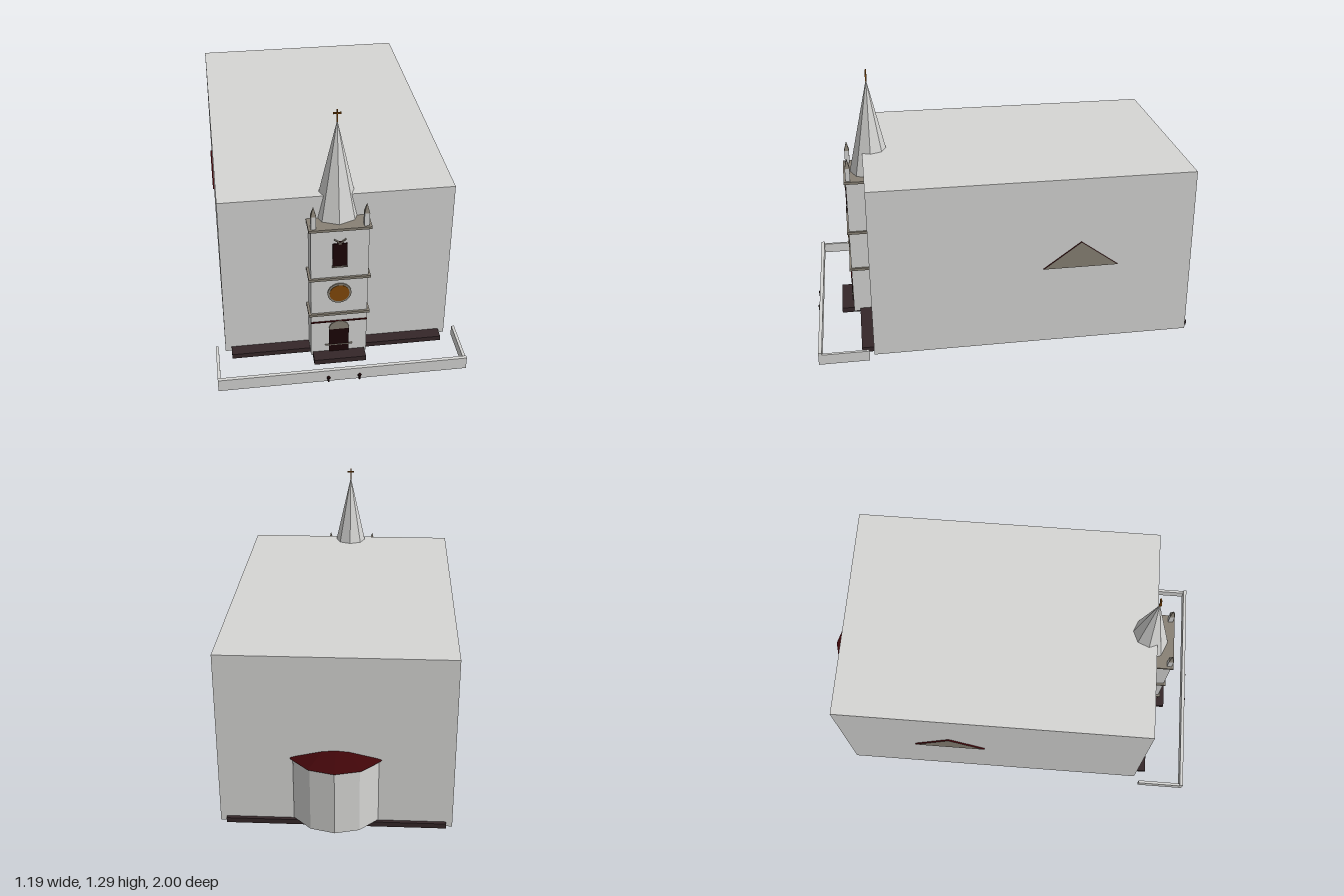
import * as THREE from 'three';

export function createModel() {
  const root = new THREE.Group();
  const mat = (name, color) => {
    const m = new THREE.MeshStandardMaterial({ color, flatShading: true });
    m.name = name;
    return m;
  };
  const plaster = mat('plaster', 0xd6d6d4);
  const stone = mat('trimStone', 0x888175);
  const dark = mat('darkStone', 0x352729);
  const wood = mat('darkWood', 0x1c0506);
  const red = mat('redRoof', 0x400609);
  const gold = mat('gold', 0x82490a);

  const add = (name, geo, material, x = 0, y = 0, z = 0, parent = root) => {
    const m = new THREE.Mesh(geo, material);
    m.name = name;
    m.position.set(x, y, z);
    parent.add(m);
    return m;
  };
  // Box given by its limits on each axis
  const box = (name, material, x0, x1, y0, y1, z0, z1, parent = root) =>
    add(name, new THREE.BoxGeometry(x1 - x0, y1 - y0, z1 - z0), material,
      (x0 + x1) / 2, (y0 + y1) / 2, (z0 + z1) / 2, parent);

  // Nave and plinth
  box('nave', plaster, -0.547, 0.547, 0, 0.874, -0.867, 0.718);
  box('plinth', dark, -0.517, 0.517, 0, 0.025, -0.885, 0.776);

  // Side gables: stone faces with red edges
  for (const side of [-1, 1]) {
    const tri = new THREE.Shape([
      new THREE.Vector2(-0.185, 0), new THREE.Vector2(0.185, 0), new THREE.Vector2(0, 0.135),
    ]);
    const geo = new THREE.ExtrudeGeometry(tri, { depth: 0.009, bevelEnabled: false });
    const gable = add('sideGable', geo, [stone, red], side * 0.546, 0.408, -0.307);
    gable.rotation.y = side * Math.PI / 2;
  }

  // Apse at the back
  add('apseWall', new THREE.CylinderGeometry(0.227, 0.227, 0.33, 12), plaster, 0, 0.195, -0.76);
  add('apseRoof', new THREE.ConeGeometry(0.24, 0.076, 12), red, 0, 0.395, -0.76);

  // Tower with cornices
  const tower = new THREE.Group();
  tower.name = 'tower';
  root.add(tower);
  box('towerBody', plaster, -0.135, 0.135, 0.01, 0.75, 0.7, 0.808, tower);
  for (const y of [0.255, 0.465, 0.743])
    box('cornice', stone, -0.146, 0.146, y, y + 0.013, 0.7, 0.818, tower);
  box('redBand', red, -0.135, 0.135, 0.209, 0.215, 0.805, 0.813, tower);

  // Spire and cross
  add('spire', new THREE.ConeGeometry(0.108, 0.485, 8), plaster, 0, 0.9975, 0.677, tower);
  box('crossPost', gold, -0.003, 0.003, 1.23, 1.29, 0.673, 0.681, tower);
  box('crossArm', gold, -0.018, 0.018, 1.27, 1.276, 0.673, 0.681, tower);

  // Corner pinnacles
  for (const x of [-0.122, 0.122]) {
    box('pinnacleBase', plaster, x - 0.012, x + 0.012, 0.756, 0.825, 0.784, 0.808, tower);
    const cap = add('pinnacleCap', new THREE.ConeGeometry(0.018, 0.05, 4), stone, x, 0.848, 0.796, tower);
    cap.rotation.y = Math.PI / 4;
  }

  // Belfry window with sill and crossed bars above
  box('belfryWindow', wood, -0.034, 0.034, 0.545, 0.67, 0.805, 0.814, tower);
  box('windowSill', stone, -0.036, 0.036, 0.538, 0.545, 0.805, 0.817, tower);
  add('windowPeak', new THREE.CircleGeometry(0.017, 12, 0, Math.PI), wood, 0, 0.67, 0.8135, tower);
  for (const s of [-1, 1]) {
    const bar = add('windowOrnament', new THREE.BoxGeometry(0.042, 0.005, 0.008), stone,
      s * 0.01, 0.682, 0.813, tower);
    bar.rotation.z = s * 0.65;
  }

  // Round window
  add('roundWindowFrame', new THREE.CylinderGeometry(0.057, 0.057, 0.009, 20), stone, 0, 0.384, 0.809, tower)
    .rotation.x = Math.PI / 2;
  add('roundWindowPane', new THREE.CylinderGeometry(0.047, 0.047, 0.009, 20), gold, 0, 0.384, 0.811, tower)
    .rotation.x = Math.PI / 2;

  // Door with arch and sill
  box('door', wood, -0.048, 0.048, 0.025, 0.167, 0.805, 0.814, tower);
  const arch = new THREE.Shape().absarc(0, 0, 0.049, 0, Math.PI);
  add('doorArch', new THREE.ExtrudeGeometry(arch, { depth: 0.009, bevelEnabled: false, curveSegments: 12 }),
    stone, 0, 0.166, 0.806, tower);
  box('doorSill', stone, -0.066, 0.066, 0.066, 0.07, 0.8, 0.816, tower);

  // Entrance step
  box('entranceStep', dark, -0.126, 0.126, 0, 0.027, 0.72, 0.87);

  // Yard wall with gate knobs
  box('frontWall', plaster, -0.594, 0.594, 0, 0.064, 0.969, 0.986);
  for (const s of [-1, 1]) {
    box('sideWall', plaster, s * 0.587 - 0.007, s * 0.587 + 0.007, 0, 0.053, 0.74, 0.969);
    box('gateFoot', wood, s * 0.074 - 0.004, s * 0.074 + 0.004, 0, 0.016, 0.984, 0.995);
    add('gateKnob', new THREE.SphereGeometry(0.009, 8, 6), wood, s * 0.074, 0.022, 0.988);
  }
  return root;
}
